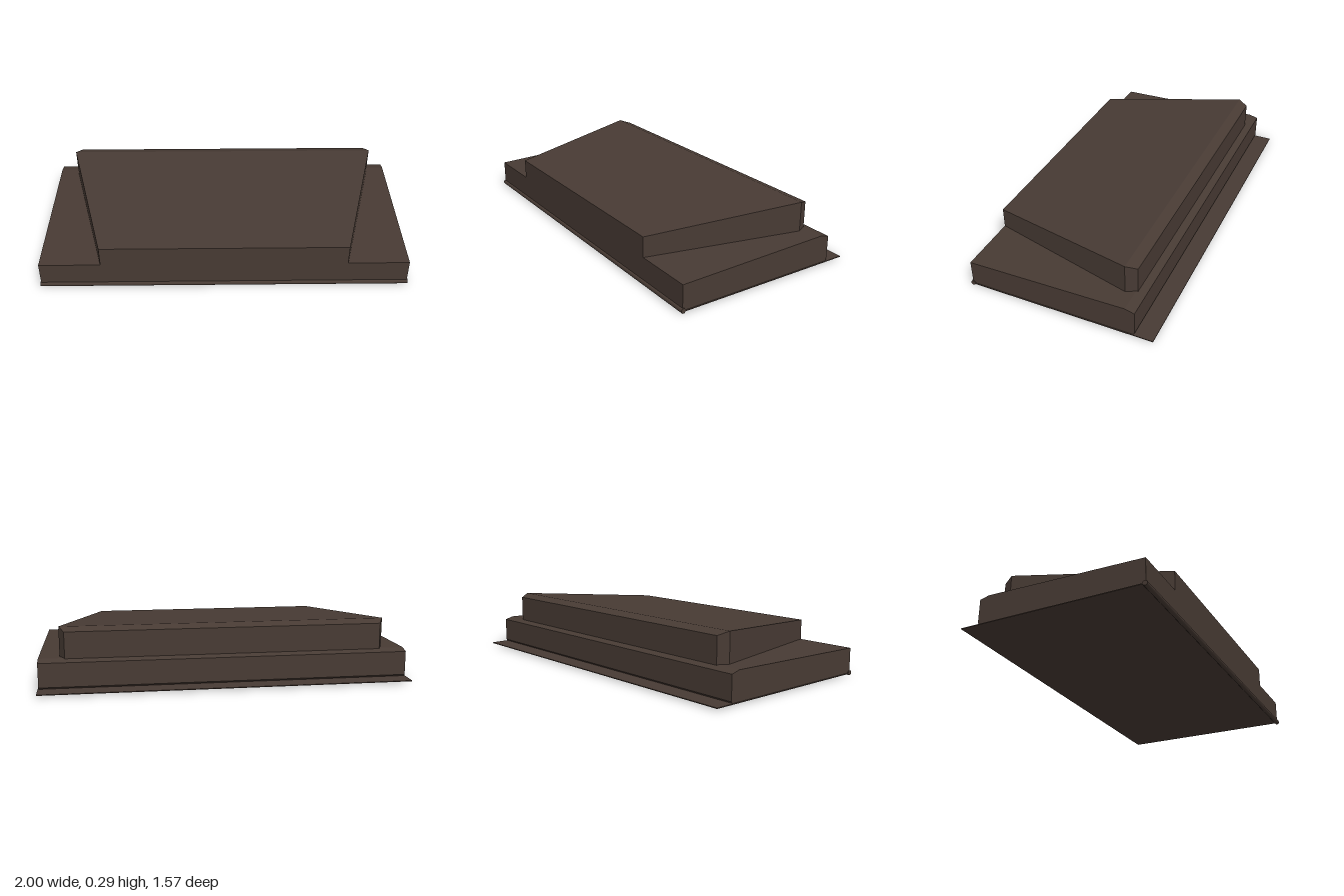
import * as THREE from 'three';
import { ConvexGeometry } from 'three/addons/geometries/ConvexGeometry.js';

const HALF = 0.888; // half of the long side
const FRONT = 0.448; // front face of the slab

export function createModel() {
  const model = new THREE.Group();
  const brown = new THREE.MeshStandardMaterial({ color: 0x483b34 });
  brown.name = 'dark brown';

  const add = (name, geometry) => {
    const mesh = new THREE.Mesh(geometry, brown);
    mesh.name = name;
    model.add(mesh);
    return mesh;
  };

  // Solid from [z, y] points of its right half, mirrored across x
  const mirroredHull = (points) => new ConvexGeometry(points.flatMap(([x, y, z]) => [
    new THREE.Vector3(x, y, z), new THREE.Vector3(-x, y, z),
  ]));

  // Thin sheet under the whole model, reaching out behind the slab
  const sheet = add('baseSheet', new THREE.BoxGeometry(HALF * 2, 0.004, 0.906));
  sheet.position.set(0, 0.01, -0.005);

  // Rounded lip along the front bottom edge
  const lip = add('frontLip', new THREE.CylinderGeometry(0.012, 0.012, HALF * 2, 12));
  lip.rotation.z = Math.PI / 2;
  lip.position.set(0, 0.012, FRONT - 0.002);

  // Low slab, rising slightly to the back, with softened back edges
  add('slab', mirroredHull([
    [HALF - 0.004, 0.01, FRONT], [HALF - 0.004, 0.132, FRONT],
    [HALF - 0.004, 0.148, -0.325], [HALF - 0.004, 0.136, -0.37],
    [HALF - 0.004, 0.02, -0.37], [HALF - 0.004, 0.01, -0.362],
  ]));

  // Raised sloping block, wider at the back, with clipped back corners
  const outline = [[0.59, FRONT, 0.23], [0.787, -0.282, 0.29], [0.761, -0.333, 0.273]];
  add('raisedBlock', mirroredHull(outline.flatMap(([x, z, top]) => [[x, 0.12, z], [x, top, z]])));

  // The whole piece stands turned on the ground
  model.rotation.y = THREE.MathUtils.degToRad(24.5);
  const root = new THREE.Group();
  root.name = 'steppedBlock';
  root.add(model);
  return root;
}
